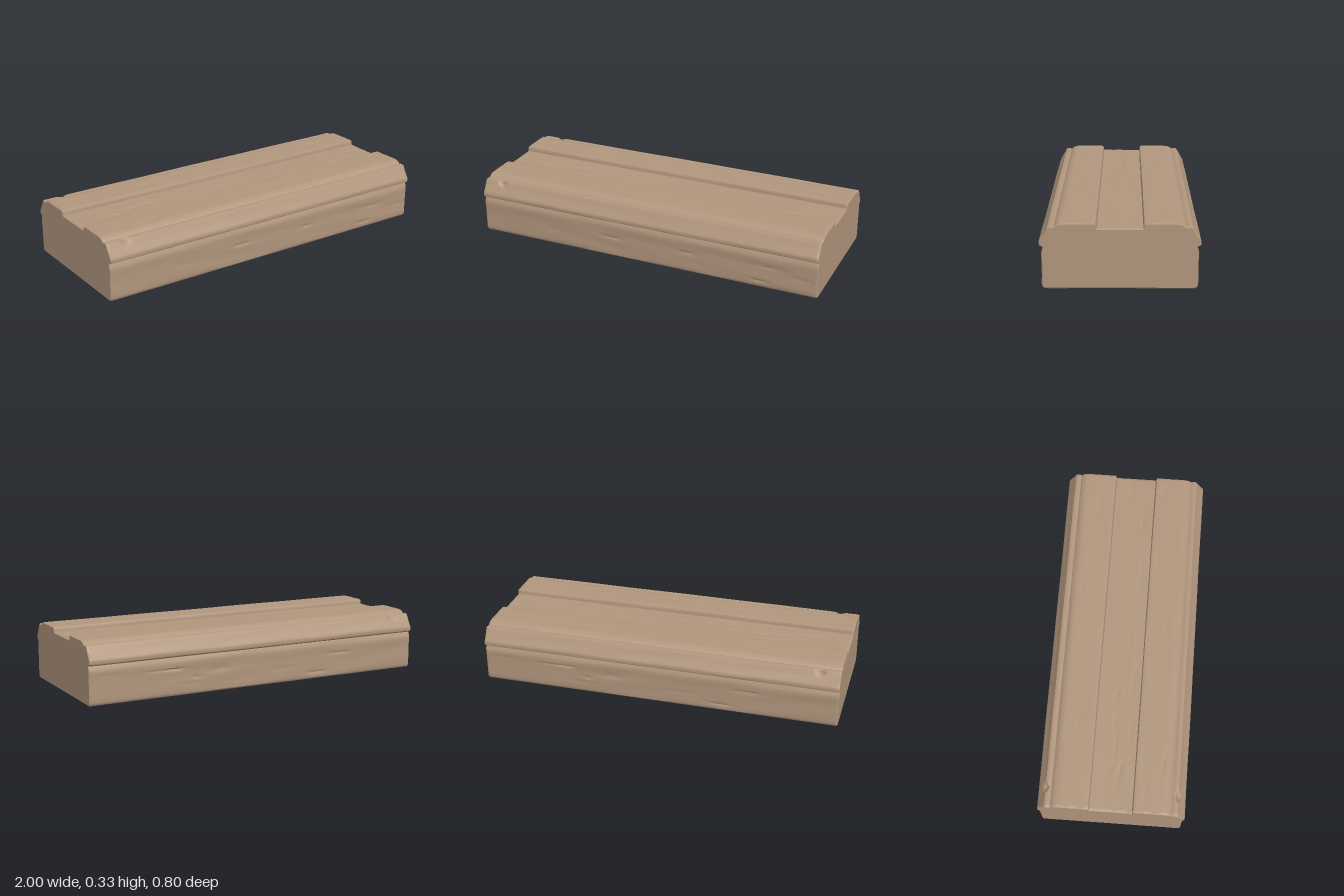
import * as THREE from 'three';
import { toCreasedNormals } from 'three/addons/utils/BufferGeometryUtils.js';

// Half of the moulded beam's cross-section as [z, y], from bottom centre to top centre
const HALF = [
  [0, 0.002], [0.36, 0.001], [0.376, 0.004], [0.384, 0.012], [0.386, 0.03], [0.386, 0.14],
  [0.388, 0.165], [0.388, 0.185], [0.384, 0.2], [0.379, 0.211], [0.386, 0.215], [0.396, 0.22],
  [0.4, 0.23], [0.398, 0.244], [0.388, 0.26], [0.374, 0.283], [0.364, 0.303], [0.357, 0.315],
  [0.345, 0.319], [0.333, 0.317], [0.325, 0.313], [0.315, 0.322], [0.301, 0.33], [0.28, 0.333],
  [0.128, 0.333], [0.12, 0.331], [0.116, 0.324], [0.114, 0.306], [0, 0.306],
];

function seeded(seed) {
  return () => (seed = (seed * 16807) % 2147483647) / 2147483647;
}

// Whole closed outline, with long visible edges subdivided so they can carry grain
function makeOutline() {
  const mirrored = HALF.slice(1, -1).reverse().map(([z, y]) => [-z, y]);
  const corners = [...HALF, ...mirrored];
  const points = [];
  corners.forEach(([z, y], i) => {
    const [z2, y2] = corners[(i + 1) % corners.length];
    const underside = y < 0.005 && y2 < 0.005;
    const n = underside ? 1 : Math.ceil(Math.hypot(z2 - z, y2 - y) / 0.012);
    for (let k = 0; k < n; k++) {
      points.push(new THREE.Vector2(z + ((z2 - z) * k) / n, y + ((y2 - y) * k) / n));
    }
  });
  const normals = points.map((p, i) => {
    const t = points[(i + 1) % points.length].clone()
      .sub(points[(i + points.length - 1) % points.length]).normalize();
    return new THREE.Vector2(t.y, -t.x);
  });
  return { points, normals };
}

// Lengthwise splits in the wood, each one following a single row of the outline
function makeCracks(points) {
  const random = seeded(4127);
  const rows = points.map((p, i) => i).filter((i) => {
    const { x: z, y } = points[i];
    const side = Math.abs(z) > 0.37 && y > 0.02 && y < 0.19;
    const top = y > 0.3 && Math.abs(z) < 0.3 && Math.abs(Math.abs(z) - 0.115) > 0.03;
    return side || top;
  });
  return Array.from({ length: 42 }, () => ({
    row: rows[Math.floor(random() * rows.length)],
    x: random() * 1.9 - 0.95,
    half: 0.04 + random() * 0.1,
    depth: 0.002 + random() * 0.003,
  }));
}

function makeBeam() {
  const { points, normals } = makeOutline();
  const cracks = makeCracks(points);
  const stations = [-1, -0.994];
  for (let i = 1; i < 160; i++) stations.push(-0.994 + (1.988 * i) / 160);
  stations.push(0.994, 1);

  const positions = [];
  const index = [];
  const count = points.length;
  stations.forEach((x, s) => {
    const isEnd = s === 0 || s === stations.length - 1;
    points.forEach((p, j) => {
      let push = 0;
      if (isEnd) {
        push = -0.005;
      } else if (p.y > 0.01) {
        // Gentle hewn waviness
        push = 0.0009 * Math.sin(x * 7 + p.y * 60 + p.x * 31) * Math.sin(x * 3.1 + p.x * 47)
          - 0.0006;
        for (const c of cracks) {
          const u = Math.abs(x - c.x) / c.half;
          if (c.row === j && u < 1) push -= c.depth * (1 - u * u);
        }
        // Peg holes in the sloping mouldings at one end
        const r = Math.hypot(x + 0.89, (Math.abs(p.x) - 0.358) * 1.1, p.y - 0.31) / 0.027;
        if (r < 1) push -= 0.015 * Math.min(1, (1 - r) * 2);
      }
      positions.push(x, p.y + normals[j].y * push, p.x + normals[j].x * push);
    });
  });

  // Long faces
  for (let s = 0; s < stations.length - 1; s++) {
    for (let j = 0; j < count; j++) {
      const k = (j + 1) % count;
      const a = s * count;
      const b = a + count;
      index.push(a + j, b + j, a + k, b + j, b + k, a + k);
    }
  }
  // Sawn ends
  const last = (stations.length - 1) * count;
  for (const [a, b, c] of THREE.ShapeUtils.triangulateShape(points, [])) {
    index.push(a, b, c, last + a, last + c, last + b);
  }

  const geometry = new THREE.BufferGeometry();
  geometry.setAttribute('position', new THREE.Float32BufferAttribute(positions, 3));
  geometry.setIndex(index);
  return toCreasedNormals(geometry, 0.65);
}

export function createModel() {
  const wood = new THREE.MeshStandardMaterial({ color: 0xb1967d });
  wood.name = 'weathered wood';

  const model = new THREE.Group();
  model.name = 'mouldedBeam';
  const beam = new THREE.Mesh(makeBeam(), wood);
  beam.name = 'beam';
  model.add(beam);
  return model;
}
